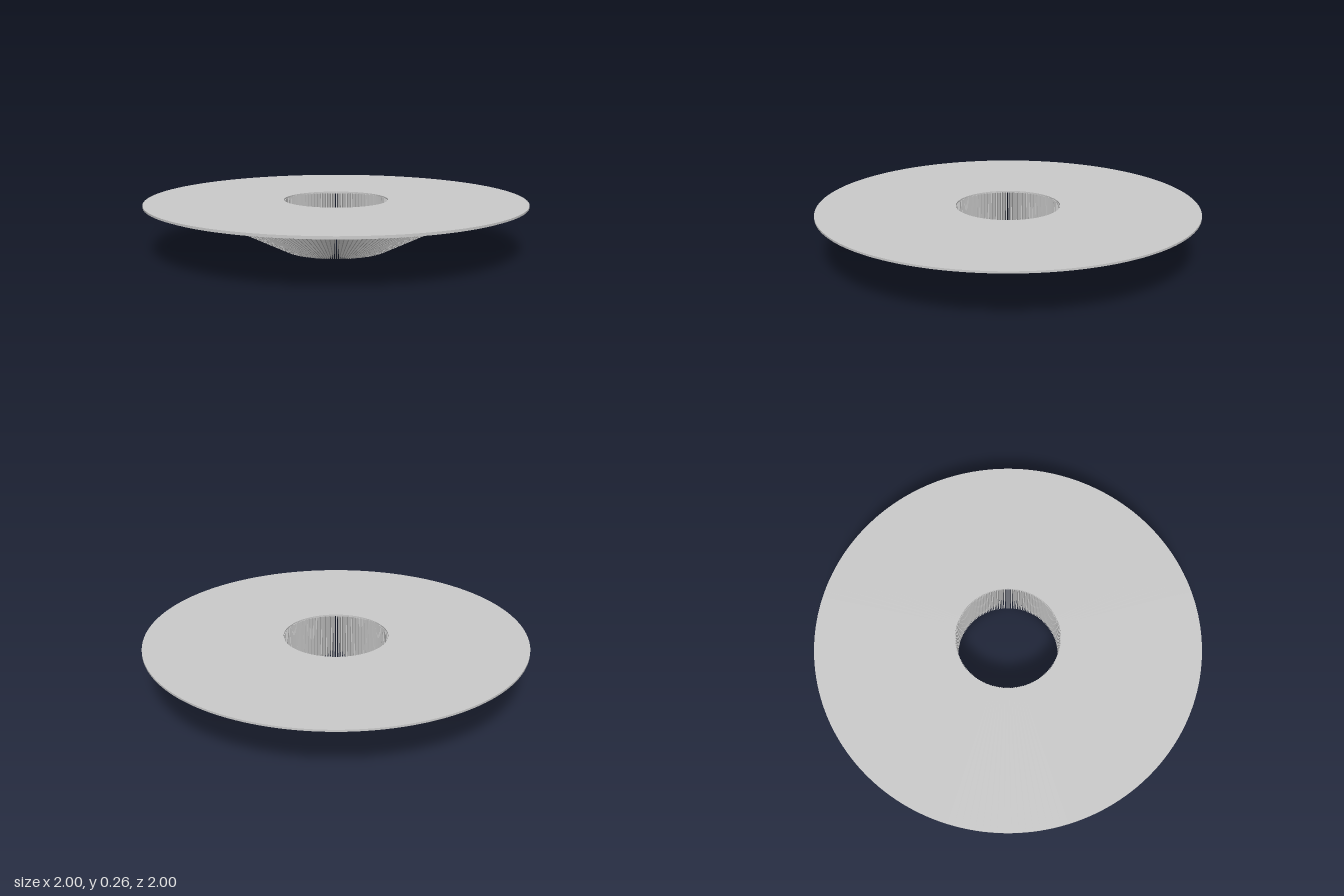
import * as THREE from 'three';
import { mergeGeometries, toCreasedNormals } from 'three/addons/utils/BufferGeometryUtils.js';

const FINS = 180;

export function createModel() {
  const group = new THREE.Group();
  const material = new THREE.MeshStandardMaterial({ color: 0xcccccc });

  const add = (name, geometry) => {
    const mesh = new THREE.Mesh(geometry, material);
    mesh.name = name;
    group.add(mesh);
  };

  // Flat ring with a rectangular section
  const ring = (name, inner, outer, bottom, top) => {
    const profile = [[inner, bottom], [outer, bottom], [outer, top], [inner, top], [inner, bottom]]
      .map(([r, y]) => new THREE.Vector2(r, y));
    add(name, toCreasedNormals(new THREE.LatheGeometry(profile, FINS), 0.5));
  };

  // Top disc with the central opening, and the low steps under it
  ring('topPlate', 0.274, 1, 0.252, 0.262);
  ring('rimLip', 0.95, 0.975, 0.243, 0.253);
  ring('underCollar', 0.6, 0.78, 0.244, 0.253);

  // Thin radial fins: upright at the opening, sloping outwards up to the plate
  const thickness = 0.004;
  const outline = new THREE.Shape([
    [0.27, 0], [0.278, 0], [0.78, 0.246], [0.78, 0.255], [0.27, 0.255],
  ].map(([r, y]) => new THREE.Vector2(r, y)));
  const fin = new THREE.ExtrudeGeometry(outline, { depth: thickness, bevelEnabled: false });
  fin.translate(0, 0, -thickness / 2);

  const fins = [];
  for (let i = 0; i < FINS; i++) {
    fins.push(fin.clone().rotateY(((i + 0.5) / FINS) * Math.PI * 2));
  }
  add('radialFins', mergeGeometries(fins));

  return group;
}
